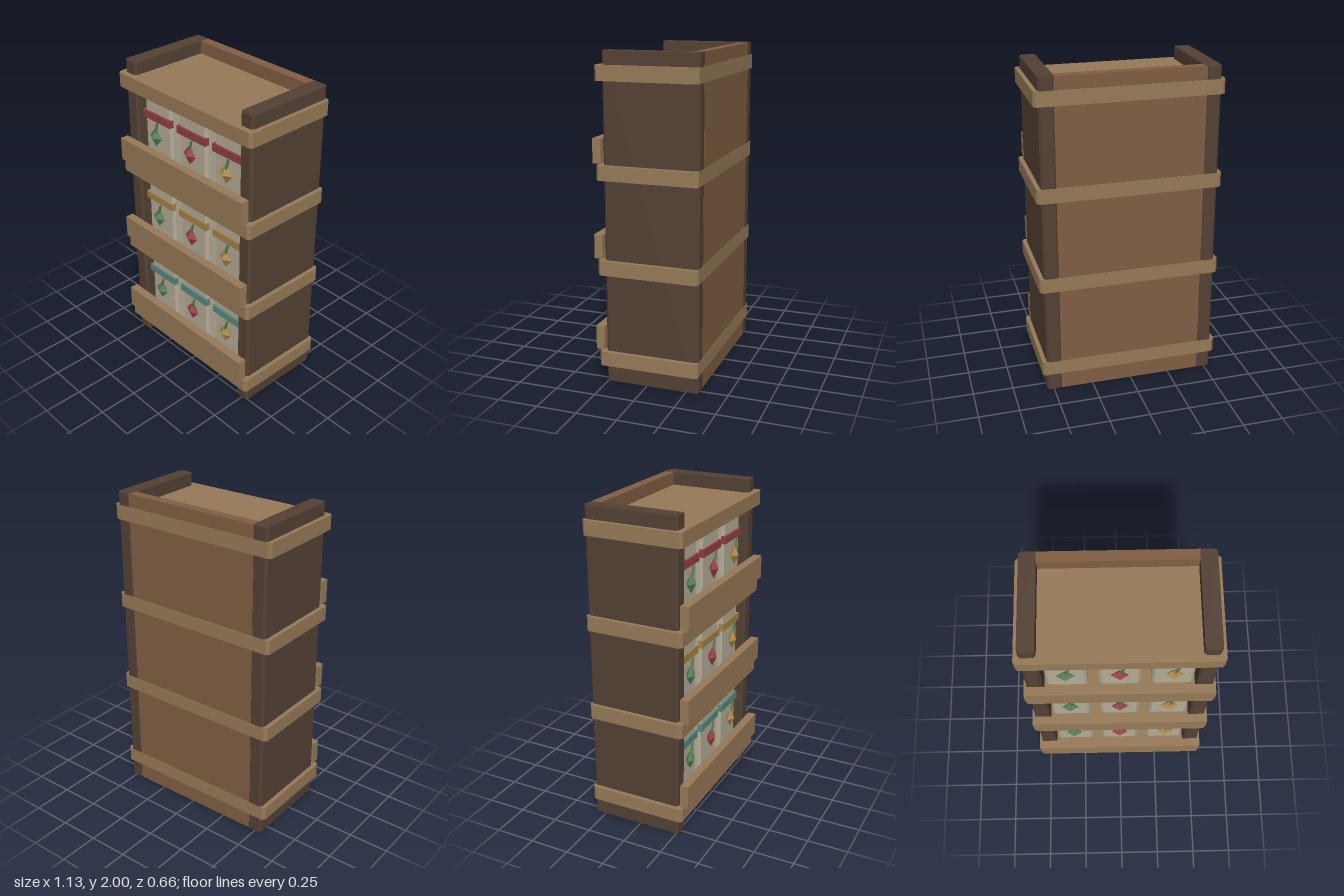
import * as THREE from 'three';

const paint = (color) => new THREE.MeshStandardMaterial({ color, flatShading: true });

// Upright block with chamfered vertical edges, given by its ranges
function chamferedBlock(x0, x1, y0, y1, z0, z1, c) {
  const s = new THREE.Shape();
  s.moveTo(x0 + c, -z0);
  s.lineTo(x1 - c, -z0);
  s.lineTo(x1, -z0 - c);
  s.lineTo(x1, -z1 + c);
  s.lineTo(x1 - c, -z1);
  s.lineTo(x0 + c, -z1);
  s.lineTo(x0, -z1 + c);
  s.lineTo(x0, -z0 - c);
  const g = new THREE.ExtrudeGeometry(s, { depth: y1 - y0, bevelEnabled: false });
  return g.rotateX(-Math.PI / 2).translate(0, y0, 0);
}

function box(w, h, d, x, y, z) {
  return new THREE.BoxGeometry(w, h, d).translate(x, y, z);
}

export function createModel() {
  const model = new THREE.Group();
  model.name = 'packetShelf';

  const darkWood = paint(0x544135);
  const lightWood = paint(0x967a57);
  const backWood = paint(0x805e42);
  const paper = paint(0xb4ab96);
  const stemGreen = paint(0x5a7a4a);
  const bandColors = [paint(0x5a877f), paint(0xa3824a), paint(0x913f40)];
  const emblemColors = [paint(0x56805a), paint(0x9c4046), paint(0xae8a4a)];

  const add = (parent, name, geometry, material) => {
    const mesh = new THREE.Mesh(geometry, material);
    mesh.name = name;
    parent.add(mesh);
    return mesh;
  };

  // Upright sides and back panel
  add(model, 'leftSide', chamferedBlock(0.443, 0.54, 0, 2, -0.326, 0.26, 0.014), darkWood);
  add(model, 'rightSide', chamferedBlock(-0.54, -0.443, 0, 2, -0.326, 0.26, 0.014), darkWood);
  add(model, 'backPanel', box(0.9, 2, 0.064, 0, 1, -0.293), backWood);

  // Four boards, wider than the sides
  for (let i = 0; i < 4; i++) {
    const y = 0.105 + i * 0.575;
    add(model, 'shelfBoard', chamferedBlock(-0.566, 0.566, y, y + 0.09, -0.3275, 0.298, 0.017), lightWood);
  }

  // Three stocked rows, each with a front rail and three packets
  for (let row = 0; row < 3; row++) {
    const rowGroup = new THREE.Group();
    rowGroup.name = 'shelfRow';
    rowGroup.position.y = 0.195 + row * 0.576;
    model.add(rowGroup);

    add(rowGroup, 'frontRail', box(1.074, 0.148, 0.053, 0, 0.077, 0.3015), lightWood);

    for (let col = 0; col < 3; col++) {
      const packet = new THREE.Group();
      packet.name = 'packet';
      packet.position.x = (col - 1) * 0.31;
      rowGroup.add(packet);

      add(packet, 'packetBody', chamferedBlock(-0.122, 0.122, 0, 0.427, -0.15, 0.21, 0.016), paper);
      add(packet, 'packetBand', box(0.25, 0.048, 0.03, 0, 0.327, 0.208), bandColors[row]);

      // Faceted emblem with a leaning stem
      const gem = add(packet, 'emblem', new THREE.OctahedronGeometry(1), emblemColors[col]);
      gem.scale.set(0.054, 0.063, 0.03);
      gem.position.set(0, 0.207, 0.232);
      const stem = add(packet, 'emblemStem', new THREE.CylinderGeometry(0.007, 0.009, 0.09, 6), stemGreen);
      stem.position.set(0.011, 0.268, 0.236);
      stem.rotation.z = -0.28;
    }
  }

  return model;
}
